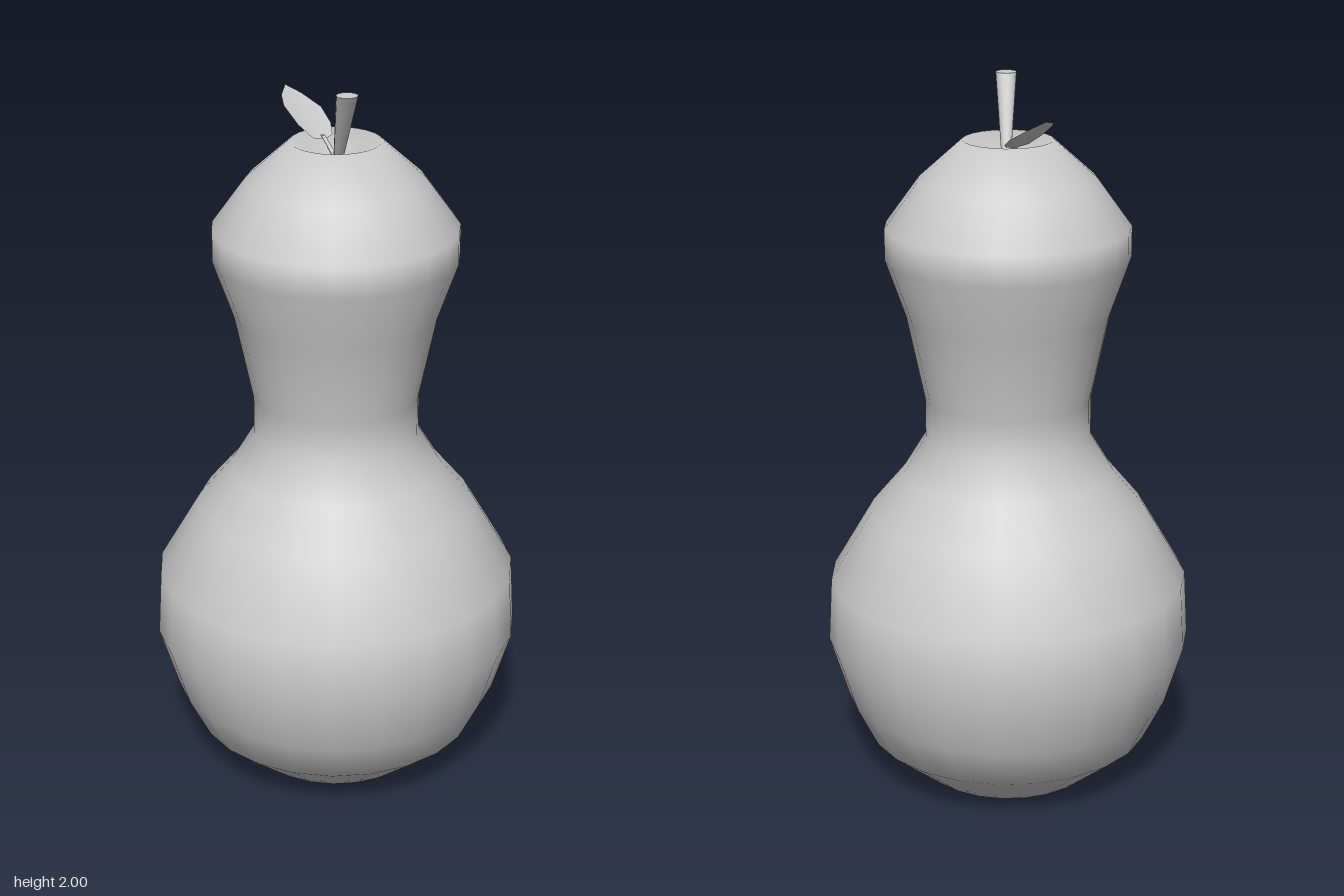
import * as THREE from 'three';

const V = (x, y, z) => new THREE.Vector3(x, y, z);
const material = new THREE.MeshStandardMaterial({ color: 0xcccccc });
const thinMaterial = new THREE.MeshStandardMaterial({ color: 0xcccccc, side: THREE.DoubleSide });

function addMesh(group, name, geometry, mat = material) {
  const mesh = new THREE.Mesh(geometry, mat);
  mesh.name = name;
  group.add(mesh);
}

// Tapered stalk whose ends stay level while its axis leans from a to b
function leaningStalk(a, b, radiusA, radiusB, sides) {
  const height = b.y - a.y;
  const geometry = new THREE.CylinderGeometry(radiusB, radiusA, height, sides);
  geometry.translate(0, height / 2, 0);
  const shear = new THREE.Matrix4().set(
    1, (b.x - a.x) / height, 0, a.x,
    0, 1, 0, a.y,
    0, (b.z - a.z) / height, 1, a.z,
    0, 0, 0, 1);
  return geometry.applyMatrix4(shear);
}

// Shallow cupped blade: a fan from its middle to the outline
function leafBlade(center, outline) {
  const points = [center, ...outline];
  const index = [];
  const n = outline.length;
  for (let i = 0; i < n; i++) index.push(0, 1 + i, 1 + (i + 1) % n);
  const geometry = new THREE.BufferGeometry().setFromPoints(points);
  geometry.setIndex(index);
  geometry.computeVertexNormals();
  return geometry;
}

export function createModel() {
  const group = new THREE.Group();
  group.name = 'gourd';

  // Gourd body, from the underside up to the dimple around the stem
  const profile = [
    [0, 0.02], [0.245, 0], [0.4, 0.125], [0.46, 0.245], [0.512, 0.415], [0.502, 0.595],
    [0.385, 0.795], [0.293, 0.905], [0.23, 1.01], [0.23, 1.12], [0.28, 1.36],
    [0.336, 1.52], [0.336, 1.605], [0.242, 1.735], [0.123, 1.842], [0, 1.785],
  ].map(([r, y]) => new THREE.Vector2(r, y));
  addMesh(group, 'body', new THREE.LatheGeometry(profile, 23, Math.PI));

  // Stem, widening towards its cut end
  addMesh(group, 'stem', leaningStalk(V(0.005, 1.78, 0), V(-0.02, 2, 0.126), 0.012, 0.029, 12));

  // Leaf and its stalk
  addMesh(group, 'leafStalk', leaningStalk(V(0.005, 1.785, 0), V(-0.012, 1.84, -0.065), 0.008, 0.006, 6));
  const outline = [
    V(-0.045, 1.838, -0.053), V(-0.01, 1.83, -0.056), V(0.02, 1.835, -0.075),
    V(0.035, 1.852, -0.125), V(0.031, 1.88, -0.185), V(-0.01, 1.912, -0.225),
    V(-0.05, 1.935, -0.245), V(-0.08, 1.922, -0.195), V(-0.09, 1.905, -0.15),
    V(-0.073, 1.868, -0.09),
  ];
  addMesh(group, 'leaf', leafBlade(V(-0.025, 1.868, -0.14), outline), thinMaterial);

  return group;
}
